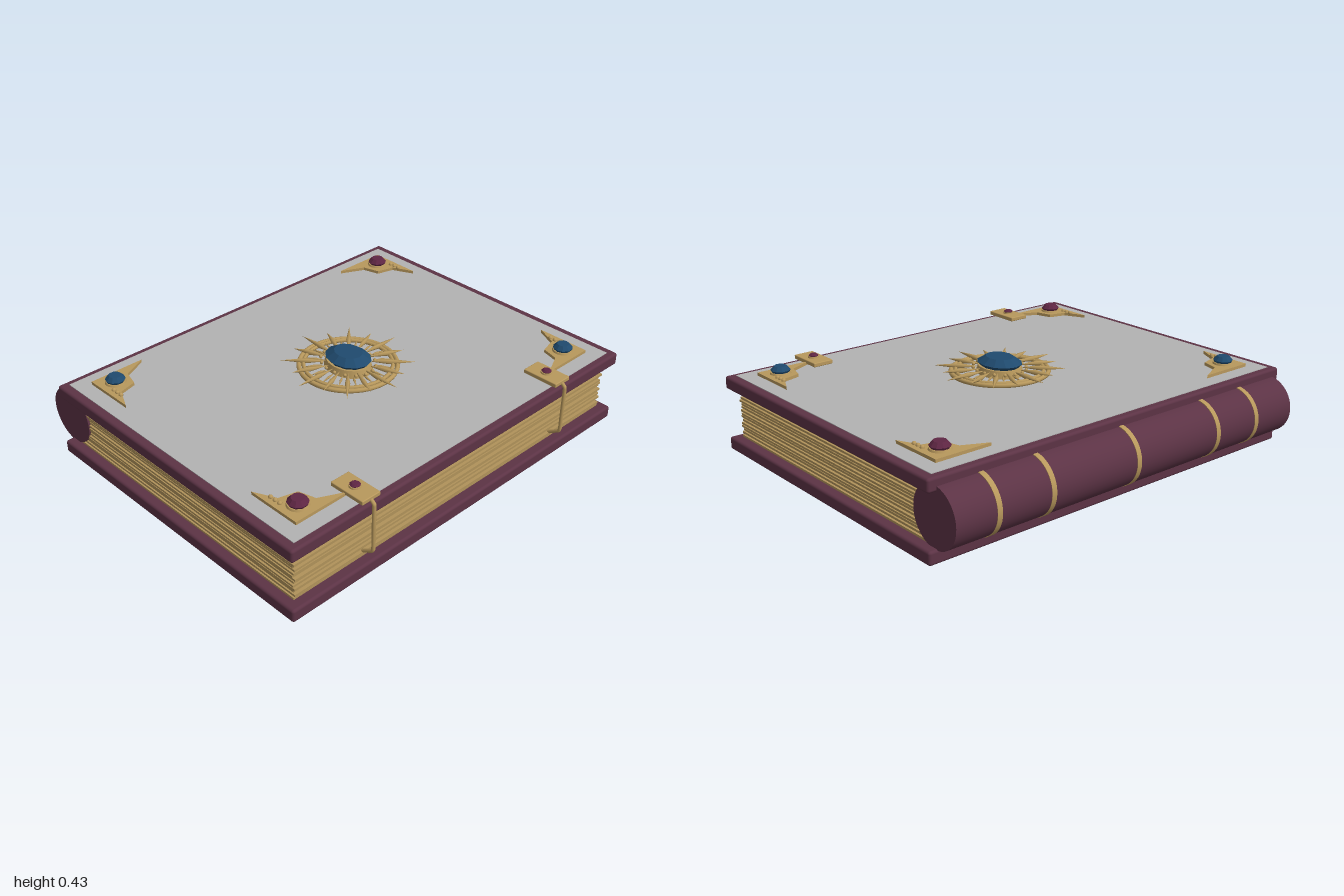
import * as THREE from 'three';
import { RoundedBoxGeometry } from 'three/addons/geometries/RoundedBoxGeometry.js';

const mat = (name, color, flatShading = false) => {
  const m = new THREE.MeshStandardMaterial({ color, flatShading });
  m.name = name;
  return m;
};

export function createModel() {
  const leather = mat('plum leather', 0x5c3345);
  const gold = mat('gold', 0xb8985c);
  const paper = mat('gilded paper', 0xb0925a);
  const panelGrey = mat('panel grey', 0xb2b2b2);
  const blue = mat('blue gem', 0x1f4a6e, true);
  const red = mat('red gem', 0x5e2643, true);

  const book = new THREE.Group();
  book.name = 'book';
  const add = (name, geo, material, x = 0, y = 0, z = 0, parent = book) => {
    const mesh = new THREE.Mesh(geo, material);
    mesh.name = name;
    mesh.position.set(x, y, z);
    parent.add(mesh);
    return mesh;
  };
  const midX = 0.045;

  // Covers and the inset panel
  for (const [name, y] of [['backCover', 0.03], ['frontCover', 0.322]])
    add(name, new RoundedBoxGeometry(1.53, 0.06, 2, 3, 0.012), leather, midX, y, 0);
  add('coverPanel', new THREE.BoxGeometry(1.465, 0.004, 1.92), panelGrey, midX, 0.353, 0);

  // Page block: a recessed core with slightly uneven sheets
  add('pageCore', new THREE.BoxGeometry(1.39, 0.232, 1.89), paper, 0.04, 0.176, 0);
  const sheets = 15;
  for (let i = 0; i < sheets; i++) {
    const end = 0.765 + 0.006 * Math.sin(i * 2.4);
    const depth = 1.908 + 0.006 * Math.cos(i * 1.7);
    add('pageSheet', new THREE.BoxGeometry(end + 0.66, 0.0095, depth), paper,
      (end - 0.66) / 2, 0.068 + i * 0.0152, 0);
  }

  // Round spine with raised bands
  const spine = add('spine', new THREE.CylinderGeometry(0.131, 0.131, 1.92, 48), leather, -0.702, 0.185, 0);
  spine.rotation.x = Math.PI / 2;
  for (const z of [-0.755, -0.485, -0.02, 0.466, 0.72]) {
    const band = add('spineBand', new THREE.CylinderGeometry(0.135, 0.135, 0.024, 48), gold, -0.7, 0.185, z);
    band.rotation.x = Math.PI / 2;
  }

  // Faceted gem: girdle, crown and flat table
  const gem = (name, r, h, sides, material, x, y, z, parent = book) => {
    const profile = [[0, 0], [r * 0.85, 0], [r, h * 0.4], [r * 0.62, h], [0, h]];
    return add(name, new THREE.LatheGeometry(profile.map(p => new THREE.Vector2(...p)), sides),
      material, x, y, z, parent);
  };

  // Corner mounts, mirrored about the cover centre
  const outline = [[-0.665, -0.888], [-0.41, -0.888], [-0.51, -0.84], [-0.532, -0.757], [-0.611, -0.735], [-0.665, -0.622]];
  for (const sx of [1, -1]) for (const sz of [1, -1]) {
    const corner = new THREE.Group();
    corner.name = 'cornerMount';
    corner.position.x = midX;
    book.add(corner);
    const shape = new THREE.Shape(outline.map(([x, z]) => new THREE.Vector2(x * sx, -z * sz)));
    const plate = new THREE.ExtrudeGeometry(shape, { depth: 0.016, bevelEnabled: false });
    plate.rotateX(-Math.PI / 2);
    add('cornerPlate', plate, gold, 0, 0.353, 0, corner);
    const gx = -0.592 * sx, gz = -0.812 * sz;
    add('gemSetting', new THREE.CylinderGeometry(0.044, 0.048, 0.01, 24), gold, gx, 0.372, gz, corner);
    gem('cornerGem', 0.045, 0.031, 10, sx * sz > 0 ? red : blue, gx, 0.374, gz, corner);
    for (let i = 0; i < 3; i++)
      add('cornerBead', new THREE.SphereGeometry(0.01, 12, 8), gold,
        (-0.54 + i * 0.026) * sx, 0.371, -0.857 * sz, corner);
  }

  // Sunburst medallion
  const medallion = new THREE.Group();
  medallion.name = 'medallion';
  medallion.position.set(midX, 0.355, -0.028);
  book.add(medallion);
  for (const [r, tube, y] of [[0.221, 0.011, 0.011], [0.2, 0.009, 0.015]]) {
    const ring = add('medallionRing', new THREE.TorusGeometry(r, tube, 8, 64), gold, 0, y, 0, medallion);
    ring.rotation.x = Math.PI / 2;
  }
  const ray = (inner, wide, outer, width) => {
    const pts = [[0, inner], [width, wide], [0, outer]].map(p => new THREE.Vector2(...p));
    return new THREE.LatheGeometry(pts, 6).rotateZ(-Math.PI / 2);
  };
  for (let i = 0; i < 16; i++) {
    const a = i * Math.PI / 8;
    const long = ray(0.09, 0.185, i % 2 ? 0.27 : 0.302, 0.012);
    add('sunRay', long, gold, 0, 0.026, 0, medallion).rotation.y = a;
    const b = a + Math.PI / 16;
    add('innerRay', ray(0.11, 0.15, 0.205, 0.006), gold, 0, 0.018, 0, medallion).rotation.y = b;
    add('medallionBead', new THREE.SphereGeometry(0.008, 10, 8), gold,
      0.135 * Math.cos(b), 0.026, 0.112 * Math.sin(b), medallion);
  }
  const setting = add('centreSetting', new THREE.CylinderGeometry(0.112, 0.122, 0.034, 32), gold, 0, 0.019, 0, medallion);
  setting.scale.z = 0.8;
  gem('centreGem', 0.116, 0.044, 12, blue, 0, 0.034, 0, medallion).scale.z = 0.8;

  // Clasps: plate, stud and a bent wire hooked round the fore edge
  for (const z of [-0.593, 0.587]) {
    const clasp = new THREE.Group();
    clasp.name = 'clasp';
    clasp.position.z = z;
    book.add(clasp);
    add('claspPlate', new RoundedBoxGeometry(0.176, 0.02, 0.098, 2, 0.004), gold, 0.717, 0.37, 0, clasp);
    add('studSetting', new THREE.CylinderGeometry(0.024, 0.026, 0.008, 20), gold, 0.715, 0.383, 0, clasp);
    gem('claspStud', 0.023, 0.013, 10, red, 0.715, 0.385, 0, clasp);
    const path = new THREE.CurvePath();
    const pts = [[0.78, 0.366], [0.805, 0.364], [0.82, 0.35], [0.82, 0.13], [0.815, 0.118], [0.765, 0.088]]
      .map(([x, y]) => new THREE.Vector3(x, y, 0));
    for (let i = 1; i < pts.length; i++) path.add(new THREE.LineCurve3(pts[i - 1], pts[i]));
    add('claspWire', new THREE.TubeGeometry(path, 60, 0.0085, 8), gold, 0, 0, 0, clasp);
    add('wireTip', new THREE.SphereGeometry(0.0085, 10, 8), gold, 0.765, 0.088, 0, clasp);
  }
  return book;
}
